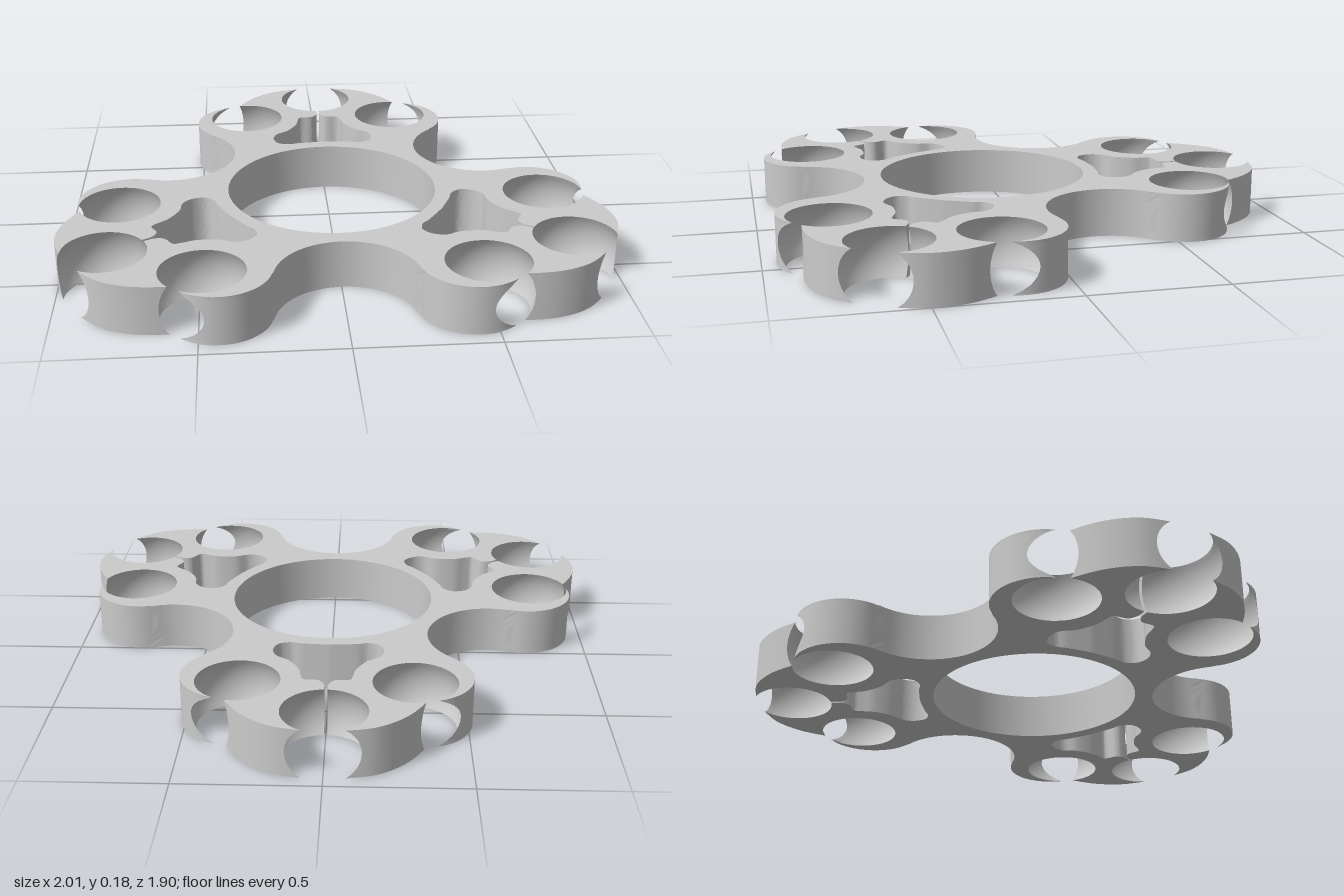
import * as THREE from 'three';
import { toCreasedNormals } from 'three/addons/utils/BufferGeometryUtils.js';

const HEIGHT = 0.18, LEVELS = 12;
const HUB_Z = 0.13, HUB_RADIUS = 0.393;
const BALL_RADIUS = 0.175;
const V = (x, z) => new THREE.Vector2(x, z);
const sideBall = V(0.31, -0.607), tipBall = V(0, -0.82);

// Points along an arc in the plan (x, z), angles in degrees
function arc(c, r, from, to, n) {
  return Array.from({ length: n + 1 }, (_, i) => {
    const a = THREE.MathUtils.degToRad(from + (to - from) * i / n);
    return V(c.x + r * Math.cos(a), c.y + r * Math.sin(a));
  });
}

const spline = (pts) => new THREE.SplineCurve(pts.map(([x, z]) => V(x, z))).getPoints(1200);

// Right half of one arm: valley and lobe, horn, inner slot (before the sockets are cut)
const lobeLine = [
  ...arc(V(0.615, -0.225), 0.25, 150, 230, 400),
  ...arc(V(0.332, -0.56), 0.185, 49.8, -90, 800).slice(1),
];
const hornLine = spline([
  [0.375, -0.66], [0.342, -0.751], [0.273, -0.853], [0.182, -0.922], [0.08, -0.949], [0, -0.955],
]);
const slotLine = spline([
  [0.006, -0.72], [0.006, -0.67], [0.008, -0.63], [0.03, -0.6], [0.08, -0.595], [0.092, -0.565],
  [0.102, -0.515], [0.14, -0.45], [0.187, -0.413], [0.203, -0.365], [0.187, -0.318],
  [0.144, -0.301], [0.1, -0.31], [0, -0.318],
]);

// Keep the part of a line outside the sockets, resampled to n + 1 points
function trim(line, r, n) {
  const kept = line.filter((p) => p.distanceTo(sideBall) >= r && p.distanceTo(tipBall) >= r);
  return Array.from({ length: n + 1 }, (_, i) => {
    const t = i / n * (kept.length - 1), k = Math.min(Math.floor(t), kept.length - 2);
    return kept[k].clone().lerp(kept[k + 1], t - k);
  });
}

// Socket wall from point a round to point b, without the end points
function socket(c, r, a, b, n) {
  const from = THREE.MathUtils.radToDeg(Math.atan2(a.y - c.y, a.x - c.x));
  let to = THREE.MathUtils.radToDeg(Math.atan2(b.y - c.y, b.x - c.x));
  if (to < from) to += 360;
  return arc(c, r, from, to, n).slice(1, -1);
}

// Closed outline of the whole body at height y
function outline(y) {
  const r = Math.sqrt(BALL_RADIUS ** 2 - (y - HEIGHT / 2) ** 2);
  const lobe = trim(lobeLine, r, 50), horn = trim(hornLine, r, 20), slot = trim(slotLine, r, 70);
  const half = [
    ...lobe, ...socket(sideBall, r, lobe.at(-1), horn[0], 40),
    ...horn, ...socket(tipBall, r, horn.at(-1), slot[0], 24), ...slot,
  ];
  const mirrored = half.slice(1, -1).reverse().map((p) => V(-p.x, p.y));
  const arm = [...half, ...mirrored];
  const hub = V(0, HUB_Z), all = [];
  for (let k = 0; k < 3; k++) {
    for (const p of arm) all.push(p.clone().rotateAround(hub, -k * Math.PI * 2 / 3));
  }
  return all;
}

// Edge wall lofted through the outlines, so the sockets come out spherical
function wallGeometry() {
  const positions = [], index = [];
  let n = 0;
  for (let j = 0; j <= LEVELS; j++) {
    const y = HEIGHT * j / LEVELS, ring = outline(y);
    n = ring.length;
    for (const p of ring) positions.push(p.x, y, p.y);
  }
  for (let j = 0; j < LEVELS; j++) {
    for (let i = 0; i < n; i++) {
      const a = j * n + i, b = j * n + (i + 1) % n;
      index.push(a, b, b + n, a, b + n, a + n);
    }
  }
  const geo = new THREE.BufferGeometry();
  geo.setAttribute('position', new THREE.Float32BufferAttribute(positions, 3));
  geo.setIndex(index);
  return toCreasedNormals(geo, 0.6);
}

// Flat face with the hub hole; s = -1 for the top, 1 for the underside
function faceGeometry(y, s) {
  const shape = new THREE.Shape(outline(y).map((p) => V(p.x, s * p.y)));
  shape.holes.push(new THREE.Path().absarc(0, s * HUB_Z, HUB_RADIUS, 0, Math.PI * 2, true));
  return new THREE.ShapeGeometry(shape, 48).rotateX(s * Math.PI / 2).translate(0, y, 0);
}

export function createModel() {
  const group = new THREE.Group();
  group.name = 'spinner';
  const material = new THREE.MeshStandardMaterial({ color: 0xcccccc });
  const add = (name, geometry) => {
    const mesh = new THREE.Mesh(geometry, material);
    mesh.name = name;
    group.add(mesh);
    return mesh;
  };

  add('edgeAndSockets', wallGeometry());
  add('topFace', faceGeometry(HEIGHT, -1));
  add('bottomFace', faceGeometry(0, 1));

  // Bore of the hub, profile run downwards so it faces the axis
  const bore = [V(HUB_RADIUS, HEIGHT), V(HUB_RADIUS, 0)];
  add('hubBore', new THREE.LatheGeometry(bore, 96)).position.z = HUB_Z;
  return group;
}
